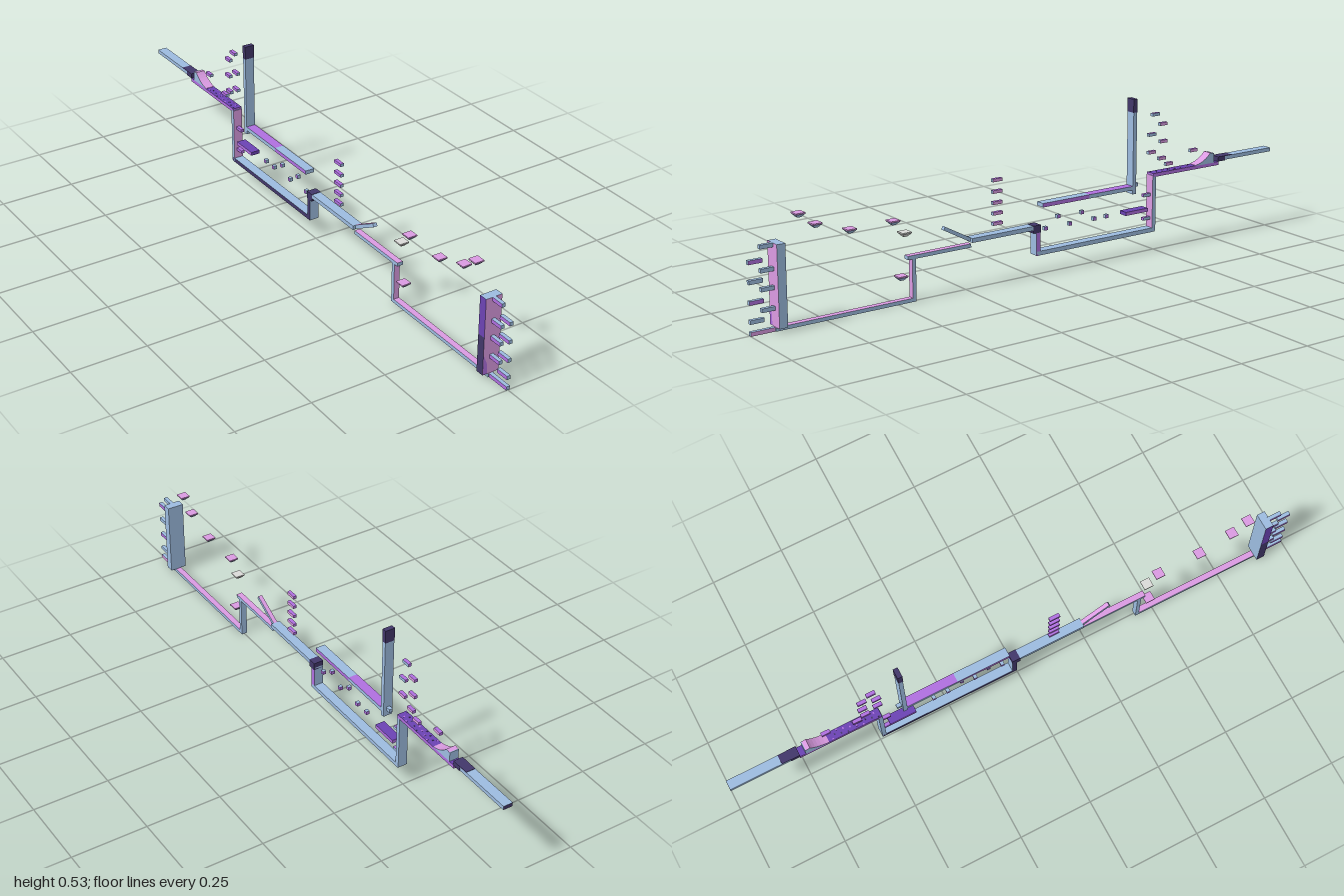
import * as THREE from 'three';

function mat(name, color) {
  const m = new THREE.MeshStandardMaterial({ color });
  m.name = name;
  return m;
}

export function createModel() {
  const root = new THREE.Group();
  root.name = 'platformCourse';
  const blue = mat('slateBlue', 0x9dbce0);
  const pink = mat('orchidPink', 0xdb9be2);
  const purple = mat('purple', 0xb070e0);
  const violet = mat('deepViolet', 0x6c43b4);
  const dark = mat('darkIndigo', 0x42376a);
  const grey = mat('paleGrey', 0xdadad8);

  // Box from z and y ranges; faces lists colours that differ from the base
  const order = ['left', 'right', 'top', 'bottom', 'front', 'back'];
  function box(name, z0, z1, y0, y1, w, base, faces = {}) {
    const g = new THREE.BoxGeometry(w, y1 - y0, Math.abs(z0 - z1));
    const m = new THREE.Mesh(g, order.map((k) => faces[k] || base));
    m.name = name;
    m.position.set(0, (y0 + y1) / 2, (z0 + z1) / 2);
    root.add(m);
    return m;
  }

  // Small block given by its centre
  function block(name, z, y, depth, h, w, base, faces) {
    return box(name, z + depth / 2, z - depth / 2, y - h / 2, y + h / 2, w, base, faces);
  }

  // Front floor, riser and ledge
  box('startFloor', 0.92, 0.44, 0, 0.012, 0.02, blue, { top: pink });
  box('startRiser', 0.45, 0.437, 0, 0.138, 0.02, blue, { front: pink });
  box('startLedge', 0.465, 0.235, 0.136, 0.148, 0.02, blue, { top: pink });

  // Tall front wall with a purple patch and climbing steps
  box('frontWallLower', 0.918, 0.89, 0.012, 0.14, 0.057, blue, { front: pink, right: dark });
  box('frontWallUpper', 0.918, 0.89, 0.14, 0.268, 0.057, blue, { front: pink, right: violet });
  const patch = new THREE.Mesh(new THREE.ShapeGeometry(new THREE.Shape([
    new THREE.Vector2(-0.028, 0.013), new THREE.Vector2(-0.014, 0.013),
    new THREE.Vector2(-0.014, 0.045), new THREE.Vector2(-0.028, 0.08),
  ])), purple);
  patch.name = 'wallPatch';
  patch.position.z = 0.919;
  root.add(patch);
  [0.262, 0.222, 0.19, 0.162, 0.133, 0.1, 0.07, 0.042].forEach((y, i) => {
    block('wallStep', i % 2 ? 0.977 : 0.938, y, 0.046, 0.0125, 0.0125, blue,
      { right: purple, bottom: purple, left: i % 4 === 1 ? purple : blue });
  });
  block('lowestStep', 0.96, 0.006, 0.08, 0.0125, 0.0125, blue,
    { left: pink, right: purple, bottom: purple });

  // Floating pads with tapered undersides
  const pads = [[0.83, 0.345], [0.775, 0.305], [0.66, 0.268],
    [0.51, 0.268], [0.47, 0.225], [0.485, 0.089]];
  pads.forEach(([z, y], i) => {
    block('padRim', z, y - 0.002, 0.032, 0.004, 0.032, i === 4 ? grey : pink);
    const g = new THREE.CylinderGeometry(0.0226, 0.0085, 0.011, 4)
      .rotateY(Math.PI / 4).toNonIndexed();
    g.computeVertexNormals();
    const base = new THREE.Mesh(g, i === 4 ? grey : blue);
    base.name = 'padBase';
    base.position.set(0, y - 0.0095, z);
    root.add(base);
  });

  // Middle floor, tilted ramp and step ladder
  box('middleFloor', 0.235, -0.02, 0.152, 0.166, 0.032, blue);
  const ramp = block('ramp', 0.283, 0.186, 0.11, 0.012, 0.014, blue, { top: pink });
  ramp.rotation.x = -0.5;
  [0.335, 0.298, 0.262, 0.228, 0.195].forEach((y) => {
    block('ladderStep', 0.131, y, 0.036, 0.01, 0.012, purple, { left: pink, front: blue });
  });

  // Sunken corridor
  box('dropCap', 0.002, -0.026, 0.142, 0.167, 0.034, dark);
  box('dropWall', -0.01, -0.026, 0.067, 0.15, 0.032, blue, { left: purple, right: dark });
  box('corridorFloor', -0.011, -0.492, 0.066, 0.08, 0.032, blue, { bottom: pink, right: dark });
  box('corridorEndWall', -0.481, -0.495, 0.068, 0.258, 0.032, blue, { front: pink });
  box('corridorShelf', -0.37, -0.462, 0.139, 0.151, 0.032, purple, { top: violet, front: violet });
  [[-0.055, 0.147], [-0.105, 0.179], [-0.152, 0.147], [-0.2, 0.177],
    [-0.25, 0.147], [-0.3, 0.147]].forEach(([z, y]) => {
    block('corridorCube', z, y, 0.012, 0.012, 0.012, purple, { top: blue, front: blue });
  });
  [0.192, 0.112].forEach((y) => {
    block('endWallStep', -0.467, y, 0.03, 0.01, 0.012, purple, { left: blue });
  });

  // Hanging beam in two halves and the tower
  box('beamNear', -0.035, -0.22, 0.222, 0.235, 0.032, purple, { top: blue, front: blue });
  box('beamFar', -0.22, -0.405, 0.222, 0.235, 0.032, blue, { top: purple });
  box('tower', -0.397, -0.411, 0.208, 0.482, 0.032, blue);
  box('towerTop', -0.396, -0.412, 0.481, 0.525, 0.033, dark);
  block('towerStep', -0.418, 0.235, 0.018, 0.012, 0.012, blue);

  // Steps above the end wall
  [[-0.5, 0.46], [-0.533, 0.424], [-0.486, 0.394], [-0.535, 0.365], [-0.486, 0.334],
    [-0.53, 0.308], [-0.56, 0.285], [-0.665, 0.316]].forEach(([z, y], i) => {
    block('upperStep', z, y, 0.03, 0.01, 0.012, purple,
      { left: i === 0 || i === 2 ? blue : pink, front: blue });
  });

  // Upper floor with speckled tiles
  box('upperFloor', -0.483, -0.766, 0.253, 0.265, 0.032, purple, { top: violet, bottom: dark });
  for (let i = 0; i < 16; i++) {
    const tile = block('floorTile', -0.492 - i * 0.0105, 0.265, 0.005, 0.001, 0.006,
      i % 2 ? purple : dark);
    tile.position.x = ((i * 3) % 5 - 2) * 0.006;
  }

  // Curved kicker
  const s = new THREE.Shape();
  s.moveTo(0.665, 0.264);
  s.lineTo(0.742, 0.264);
  s.lineTo(0.742, 0.297);
  s.lineTo(0.728, 0.3);
  s.quadraticCurveTo(0.705, 0.272, 0.665, 0.266);
  const kicker = new THREE.Mesh(
    new THREE.ExtrudeGeometry(s, { depth: 0.032, bevelEnabled: false, curveSegments: 6 })
      .translate(0, 0, -0.016).rotateY(Math.PI / 2), [blue, pink]);
  kicker.name = 'kicker';
  root.add(kicker);
  box('kickerBack', -0.742, -0.745, 0.264, 0.297, 0.032, blue);

  // Final floor with a dark threshold
  box('finalFloorStart', -0.764, -0.795, 0.265, 0.281, 0.033, dark);
  box('thresholdPlate', -0.795, -0.825, 0.279, 0.281, 0.032, dark);
  box('finalFloor', -0.79, -1, 0.267, 0.28, 0.032, blue, { back: dark });

  return root;
}
